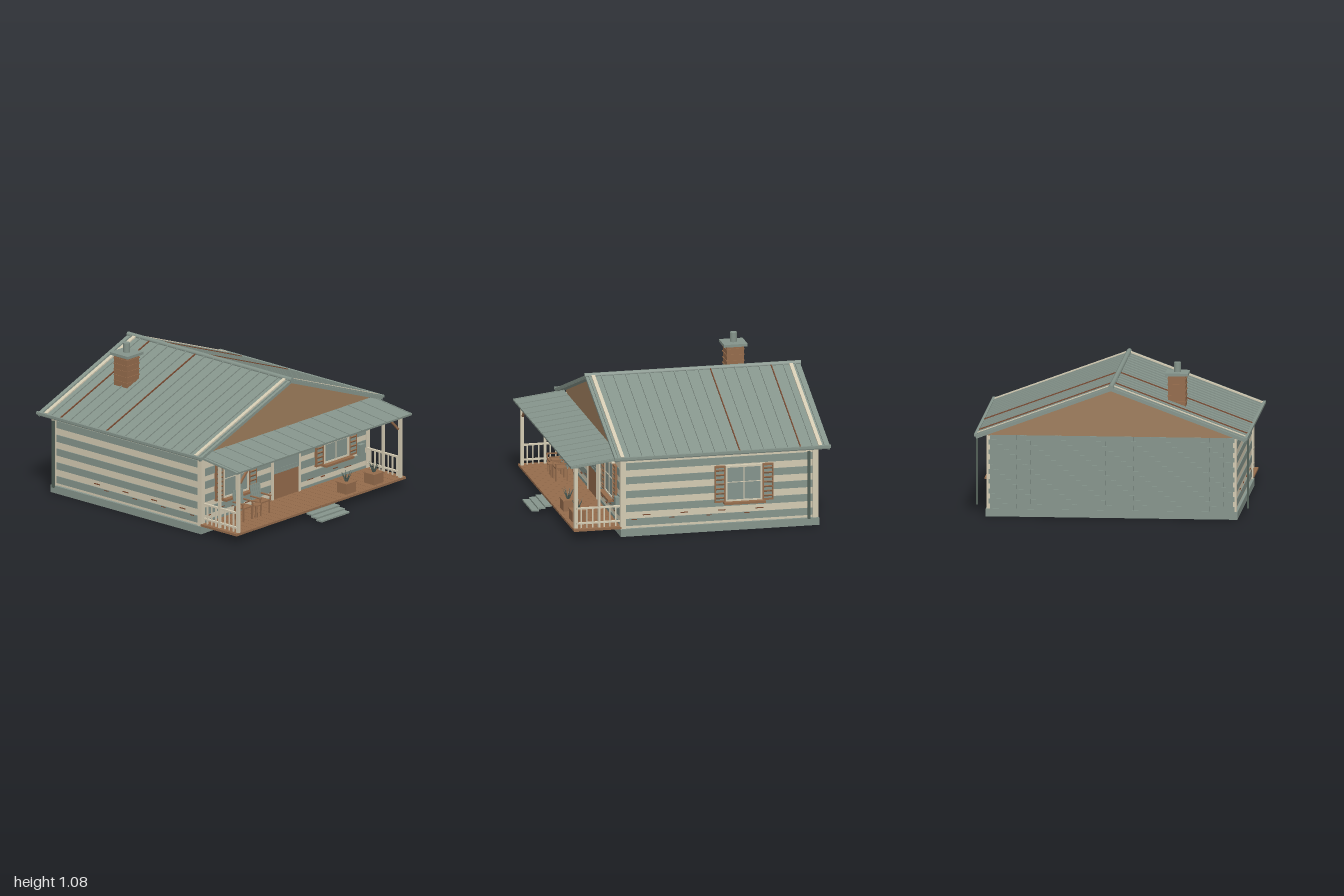
import * as THREE from 'three';
import { mergeGeometries } from 'three/addons/utils/BufferGeometryUtils.js';

const mat = (name, color) => {
  const m = new THREE.MeshStandardMaterial({ color });
  m.name = name;
  return m;
};

export function createModel() {
  const M = {
    metal: mat('grey green', 0x85948b),
    glass: mat('glass grey', 0x84938c),
    cream: mat('cream trim', 0xd3cab2),
    gable: mat('gable brown', 0x9e7d5c),
    wood: mat('wood brown', 0x946b4b),
    rust: mat('rust brown', 0x784a31),
    dark: mat('dark green', 0x4e5c54),
  };
  const model = new THREE.Group();
  model.name = 'cabin';

  const group = (name, parent = model, x = 0, y = 0, z = 0) => {
    const g = new THREE.Group();
    g.name = name;
    g.position.set(x, y, z);
    parent.add(g);
    return g;
  };
  const add = (parent, name, geo, m, x, y, z) => {
    const mesh = new THREE.Mesh(geo, m);
    mesh.name = name;
    mesh.position.set(x, y, z);
    parent.add(mesh);
    return mesh;
  };
  const box = (parent, name, m, w, h, d, x, y, z) =>
    add(parent, name, new THREE.BoxGeometry(w, h, d), m, x, y, z);

  // Foundation and wall core
  box(model, 'foundation', M.metal, 1.8, 0.055, 1.45, 0, 0.0275, -0.205);
  const walls = group('walls');
  box(walls, 'wallCore', M.cream, 1.76, 0.535, 1.42, 0, 0.32, -0.205);

  // Logs, staggered by half a course between front and sides
  for (let i = 0; i < 5; i++) {
    const y = 0.1 + i * 0.103;
    for (const s of [-1, 1]) box(walls, 'sideLog', M.metal, 0.012, 0.052, 1.38, s * 0.88, y, -0.2);
    if (i < 4) box(walls, 'frontLog', M.metal, 1.74, 0.056, 0.012, 0, 0.157 + i * 0.097, 0.505);
  }
  box(walls, 'frontBottomLog', M.metal, 1.74, 0.03, 0.012, 0, 0.075, 0.505);
  // Weathered cracks in the logs
  for (let i = 0; i < 12; i++) {
    const t = ((i * 7) % 12) / 12, w = 0.04 + (i % 3) * 0.015, row = i % 3;
    for (const s of [-1, 1])
      box(walls, 'sideCrack', M.rust, 0.006, 0.006, w, s * 0.884, [0.12, 0.15, 0.56][row], 0.42 - t * 1.1);
    box(walls, 'frontCrack', M.rust, w, 0.006, 0.006, -0.8 + t * 1.6, [0.12, 0.15, 0.13][row], 0.51);
  }
  // Corner boards and top trim
  for (const s of [-1, 1]) {
    box(walls, 'frontCorner', M.cream, 0.035, 0.53, 0.04, s * 0.875, 0.32, 0.5);
    box(walls, 'backCorner', M.cream, 0.035, 0.53, 0.04, s * 0.875, 0.32, -0.905);
  }
  box(walls, 'frontTopTrim', M.cream, 1.74, 0.035, 0.02, 0, 0.53, 0.508);

  // Shingled back wall
  box(walls, 'backCladding', M.metal, 1.74, 0.535, 0.012, 0, 0.32, -0.92);
  const shingles = [];
  for (let r = 0; r < 15; r++)
    for (let c = 0; c < 29; c++) {
      const g = new THREE.BoxGeometry(0.058, 0.034, 0.004);
      g.translate(-0.85 + c * 0.06 + (r % 2) * 0.02, 0.075 + r * 0.0355, -0.927);
      shingles.push(g);
    }
  add(walls, 'backShingles', mergeGeometries(shingles), M.metal, 0, 0, 0);

  // Gable block under the roof
  const tri = new THREE.Shape();
  [[-0.89, 0.58], [0.89, 0.58], [0.89, 0.6], [0, 0.93], [-0.89, 0.6]]
    .forEach(([x, y], i) => (i ? tri.lineTo(x, y) : tri.moveTo(x, y)));
  add(model, 'gable', new THREE.ExtrudeGeometry(tri, { depth: 1.435, bevelEnabled: false }), M.gable, 0, 0, -0.925);

  // Main roof: one slope per side
  const rise = 0.36, run = 0.97, L = Math.hypot(rise, run);
  for (const s of [-1, 1]) {
    const slope = group('roofSlope', model, 0, 0.953, 0);
    slope.rotation.z = -s * Math.atan2(rise, run);
    const cx = (s * L) / 2;
    box(slope, 'roofPanel', M.metal, L, 0.018, 1.57, cx, -0.009, -0.21);
    for (let k = -2; k <= 15; k++) {
      const rusty = k === 0 || k === 5;
      box(slope, 'roofRib', rusty ? M.rust : M.metal, L - 0.02, 0.009, 0.007, cx, 0.004, -0.78 + k * 0.0887);
    }
    for (const z of [0.52, -0.925]) box(slope, 'roofStrip', M.cream, L - 0.03, 0.012, 0.026, cx, 0.004, z);
    for (const z of [0.565, -0.985]) box(slope, 'rakeBoard', M.metal, L, 0.024, 0.016, cx, -0.012, z);
    // Gutter and downspout
    box(model, 'gutter', M.metal, 0.02, 0.018, 1.58, s * 0.967, 0.596, -0.21);
    box(model, 'downspout', M.dark, 0.014, 0.5, 0.018, s * 0.968, 0.32, -0.84);
  }
  const ridge = add(model, 'ridgeCap', new THREE.CylinderGeometry(0.018, 0.018, 1.58, 10), M.metal, 0, 0.952, -0.21);
  ridge.rotation.x = Math.PI / 2;

  // Chimney
  const chimney = group('chimney', model, -0.445, 0, -0.61);
  box(chimney, 'stack', M.wood, 0.125, 0.27, 0.125, 0, 0.86, 0);
  for (let i = 0; i < 5; i++) box(chimney, 'stackBand', M.wood, 0.134, 0.008, 0.134, 0, 0.8 + i * 0.042, 0);
  box(chimney, 'chimneyCap', M.metal, 0.165, 0.02, 0.172, 0, 1.0, 0);
  add(chimney, 'flue', new THREE.CylinderGeometry(0.025, 0.025, 0.07, 14), M.metal, 0, 1.045, 0);

  // Shuttered window facing +z in its own frame
  function makeWindow(x, y, z, turn) {
    const w = group('window', model, x, y, z);
    w.rotation.y = turn;
    box(w, 'glass', M.glass, 0.25, 0.25, 0.014, 0, 0, 0);
    for (const s of [-1, 1]) {
      box(w, 'frameSide', M.cream, 0.014, 0.265, 0.024, s * 0.127, 0, 0.002);
      box(w, 'frameRail', M.cream, 0.26, 0.014, 0.024, 0, s * 0.126, 0.002);
      const sh = group('shutter', w, s * 0.176, 0, 0.006);
      box(sh, 'shutterBack', M.metal, 0.07, 0.26, 0.012, 0, 0, 0);
      for (const e of [-1, 1]) {
        box(sh, 'shutterStile', M.wood, 0.008, 0.27, 0.02, e * 0.034, 0, 0);
        box(sh, 'shutterRail', M.wood, 0.076, 0.014, 0.02, 0, e * 0.128, 0);
      }
      for (let i = 0; i < 7; i++) {
        const slat = box(sh, 'shutterSlat', M.wood, 0.062, 0.012, 0.008, 0, -0.102 + i * 0.034, 0.008);
        slat.rotation.x = 0.4;
      }
    }
    box(w, 'mullion', M.cream, 0.008, 0.25, 0.018, 0, 0, 0.002);
    box(w, 'muntin', M.cream, 0.25, 0.005, 0.018, 0, 0.01, 0.002);
    box(w, 'sill', M.wood, 0.3, 0.016, 0.06, 0, -0.138, 0.02);
  }
  makeWindow(-0.53, 0.345, 0.512, 0);
  makeWindow(0.53, 0.345, 0.512, 0);
  makeWindow(0.89, 0.345, -0.38, Math.PI / 2);

  // Door with a screen over its upper part
  const door = group('door', model, 0, 0, 0.512);
  box(door, 'doorSlab', M.wood, 0.27, 0.42, 0.016, 0, 0.28, 0);
  box(door, 'doorScreen', M.glass, 0.265, 0.225, 0.008, 0, 0.375, 0.007);
  for (const y of [0.27, 0.295]) box(door, 'doorBar', M.metal, 0.25, 0.006, 0.008, 0, y, 0.009);
  for (const s of [-1, 1]) box(door, 'doorJamb', M.cream, 0.018, 0.46, 0.03, s * 0.142, 0.3, 0);
  box(door, 'doorHead', M.cream, 0.3, 0.016, 0.03, 0, 0.498, 0);

  // Porch deck and steps
  const porch = group('porch');
  for (let i = 0; i < 30; i++)
    box(porch, 'deckPlank', M.wood, 0.057, 0.016, 0.345, -0.87 + i * 0.06, 0.066, 0.688);
  for (let i = 0; i < 4; i++) box(porch, 'step', M.metal, 0.295, 0.012, 0.055, 0, 0.018 + i * 0.014, 0.972 - i * 0.047);

  // Porch roof with seams
  const pr = group('porchRoof', porch, 0, 0.563, 0.705);
  pr.rotation.x = Math.atan2(0.045, 0.37);
  box(pr, 'porchPanel', M.metal, 1.855, 0.014, 0.375, 0, 0, 0);
  for (let i = 0; i < 15; i++) box(pr, 'porchSeam', M.metal, 0.006, 0.007, 0.37, -0.905 + i * 0.13, 0.008, 0);
  box(porch, 'porchBeam', M.metal, 1.76, 0.02, 0.025, 0, 0.532, 0.84);

  // Posts, braces and side railings
  for (const s of [-1, 1]) {
    box(porch, 'cornerPost', M.cream, 0.024, 0.465, 0.024, s * 0.858, 0.3, 0.84);
    box(porch, 'middlePost', M.cream, 0.018, 0.475, 0.018, s * 0.865, 0.305, 0.67);
    const brace = box(porch, 'brace', M.wood, 0.115, 0.014, 0.014, s * 0.797, 0.48, 0.84);
    brace.rotation.z = s * -0.8;
    for (const y of [0.11, 0.22]) box(porch, 'handrail', M.cream, 0.018, 0.012, 0.32, s * 0.865, y, 0.68);
    for (let i = 0; i < 7; i++)
      box(porch, 'baluster', M.cream, 0.009, 0.145, 0.009, s * 0.865, 0.147, 0.55 + i * 0.042);
  }

  // Two slatted chairs with a small table between
  for (const x of [-0.605, -0.42]) {
    const c = group('chair', porch, x, 0.074, 0.66);
    box(c, 'seat', M.wood, 0.1, 0.01, 0.09, 0, 0.095, 0);
    for (let i = 0; i < 5; i++) {
      const slat = box(c, 'backSlat', M.metal, 0.018, 0.12, 0.008, -0.042 + i * 0.021, 0.15, -0.05);
      slat.rotation.x = -0.15;
    }
    for (const s of [-1, 1]) {
      for (const z of [-0.04, 0.04]) box(c, 'leg', M.wood, 0.01, 0.095, 0.01, s * 0.045, 0.047, z);
      box(c, 'arm', M.wood, 0.014, 0.008, 0.1, s * 0.052, 0.13, 0);
      box(c, 'armPost', M.wood, 0.008, 0.035, 0.008, s * 0.052, 0.112, 0.042);
    }
  }
  add(porch, 'tableTop', new THREE.CylinderGeometry(0.035, 0.035, 0.008, 14), M.wood, -0.512, 0.17, 0.7);
  add(porch, 'tableLeg', new THREE.CylinderGeometry(0.007, 0.012, 0.095, 8), M.wood, -0.512, 0.12, 0.7);

  // Planters with leafy sprigs
  for (const x of [0.355, 0.645]) {
    const p = group('planter', porch, x, 0.074, 0.78);
    box(p, 'planterBox', M.wood, 0.1, 0.075, 0.095, 0, 0.0375, 0);
    box(p, 'planterRim', M.wood, 0.108, 0.008, 0.102, 0, 0.075, 0);
    for (let i = 0; i < 7; i++) {
      const a = (i / 7) * Math.PI * 2;
      const leaf = add(p, 'leaf', new THREE.ConeGeometry(0.007, 0.09, 5), M.dark,
        Math.cos(a) * 0.022, 0.115, Math.sin(a) * 0.022);
      leaf.rotation.set(Math.sin(a) * 0.45, 0, -Math.cos(a) * 0.45);
    }
  }

  // Wall lamp, blank plate and mailbox
  box(porch, 'lamp', M.rust, 0.026, 0.05, 0.03, -0.22, 0.435, 0.525);
  box(porch, 'lampGlass', M.wood, 0.016, 0.03, 0.036, -0.22, 0.432, 0.525);
  box(porch, 'wallPlate', M.metal, 0.115, 0.045, 0.008, 0.222, 0.455, 0.515);
  box(porch, 'mailbox', M.metal, 0.05, 0.08, 0.03, 0.79, 0.23, 0.525);
  return model;
}
